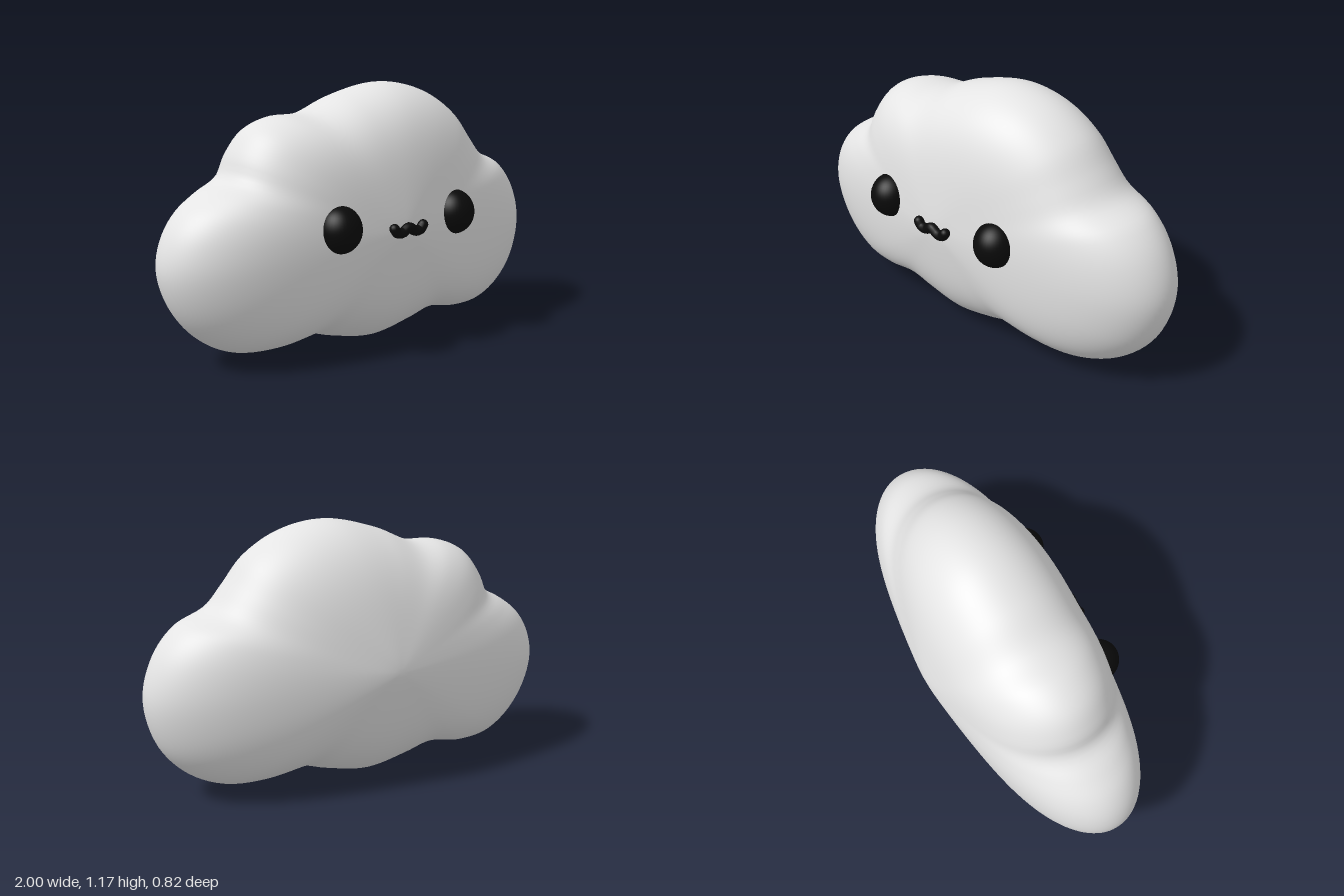
import * as THREE from 'three';
import { mergeVertices } from 'three/addons/utils/BufferGeometryUtils.js';

const white = new THREE.MeshStandardMaterial({ color: 0xe4e4e4 });
white.name = 'cloud white';
const black = new THREE.MeshStandardMaterial({ color: 0x0a0a0a });
black.name = 'face black';

const CENTRE_Y = 0.55;

// Cloud silhouette, clockwise from the -x tip
const OUTLINE = [
  [-1, 0.45], [-0.97, 0.58], [-0.9, 0.68], [-0.8, 0.75], [-0.69, 0.81], [-0.65, 0.9],
  [-0.57, 1.0], [-0.45, 1.05], [-0.28, 1.06], [-0.1, 1.13], [0.14, 1.178], [0.35, 1.14],
  [0.52, 1.04], [0.62, 0.92], [0.7, 0.83], [0.85, 0.76], [0.95, 0.64], [1, 0.46],
  [0.95, 0.26], [0.84, 0.13], [0.7, 0.06], [0.55, 0.05], [0.35, 0.08], [0.2, 0.04],
  [0, 0.003], [-0.2, 0.04], [-0.35, 0.08], [-0.55, 0.05], [-0.72, 0.07], [-0.86, 0.16], [-0.96, 0.3],
];

// Puffed body: scaled copies of the silhouette, whose notches fade towards the middle
function cloudGeometry() {
  const N = 180, RINGS = 80, BLUR = 9;
  const curve = new THREE.CatmullRomCurve3(
    OUTLINE.map(([x, y]) => new THREE.Vector3(x, y - CENTRE_Y, 0)), true);
  const edge = curve.getSpacedPoints(N).slice(0, N);
  const soft = edge.map((_, i) => {
    const sum = new THREE.Vector3();
    for (let k = -BLUR; k <= BLUR; k++) sum.add(edge[(i + k + N) % N]);
    return sum.divideScalar(2 * BLUR + 1);
  });

  const positions = [], index = [];
  for (let j = 0; j <= RINGS; j++) {
    const phi = (j / RINGS) * Math.PI;
    const s = Math.min(1, Math.abs(Math.sin(phi)));
    const round = Math.sqrt(Math.max(0, 1 - s ** 5));
    const h = Math.hypot(s, 0.1);
    const z = j < RINGS / 2 ? round * (0.372 - 0.09 * h) : -round * (0.424 - 0.15 * h);
    for (let i = 0; i < N; i++) {
      const p = soft[i].clone().lerp(edge[i], s * s).multiplyScalar(s);
      positions.push(p.x, p.y + CENTRE_Y, z);
      if (j === RINGS) continue;
      const a = j * N + i, b = j * N + (i + 1) % N;
      index.push(a, b + N, a + N, a, b, b + N);
    }
  }
  const geometry = new THREE.BufferGeometry();
  geometry.setAttribute('position', new THREE.Float32BufferAttribute(positions, 3));
  geometry.setIndex(index);
  const merged = mergeVertices(geometry, 1e-5);
  merged.computeVertexNormals();
  return merged;
}

export function createModel() {
  const group = new THREE.Group();
  group.name = 'cloud';
  const add = (name, geometry, material, parent = group) => {
    const mesh = new THREE.Mesh(geometry, material);
    mesh.name = name;
    parent.add(mesh);
    return mesh;
  };

  add('cloudBody', cloudGeometry(), white);

  // Domed eyes
  for (const [name, x] of [['leftEye', 0.325], ['rightEye', -0.33]]) {
    const eye = add(name, new THREE.SphereGeometry(1, 40, 28), black);
    eye.scale.set(0.096, 0.103, 0.1);
    eye.position.set(x, 0.595, 0.31);
  }

  // Small double-curved smile with rounded ends
  const mouth = new THREE.Group();
  mouth.name = 'mouth';
  group.add(mouth);
  const path = [[-0.082, 0.575], [-0.065, 0.556], [-0.035, 0.554], [0, 0.572],
    [0.035, 0.554], [0.065, 0.556], [0.082, 0.575]].map(([x, y]) => new THREE.Vector3(x, y, 0.374));
  add('smile', new THREE.TubeGeometry(new THREE.CatmullRomCurve3(path), 40, 0.023, 14), black, mouth);
  for (const end of [path[0], path[path.length - 1]]) {
    add('smileEnd', new THREE.SphereGeometry(0.023, 16, 12), black, mouth).position.copy(end);
  }
  return group;
}
